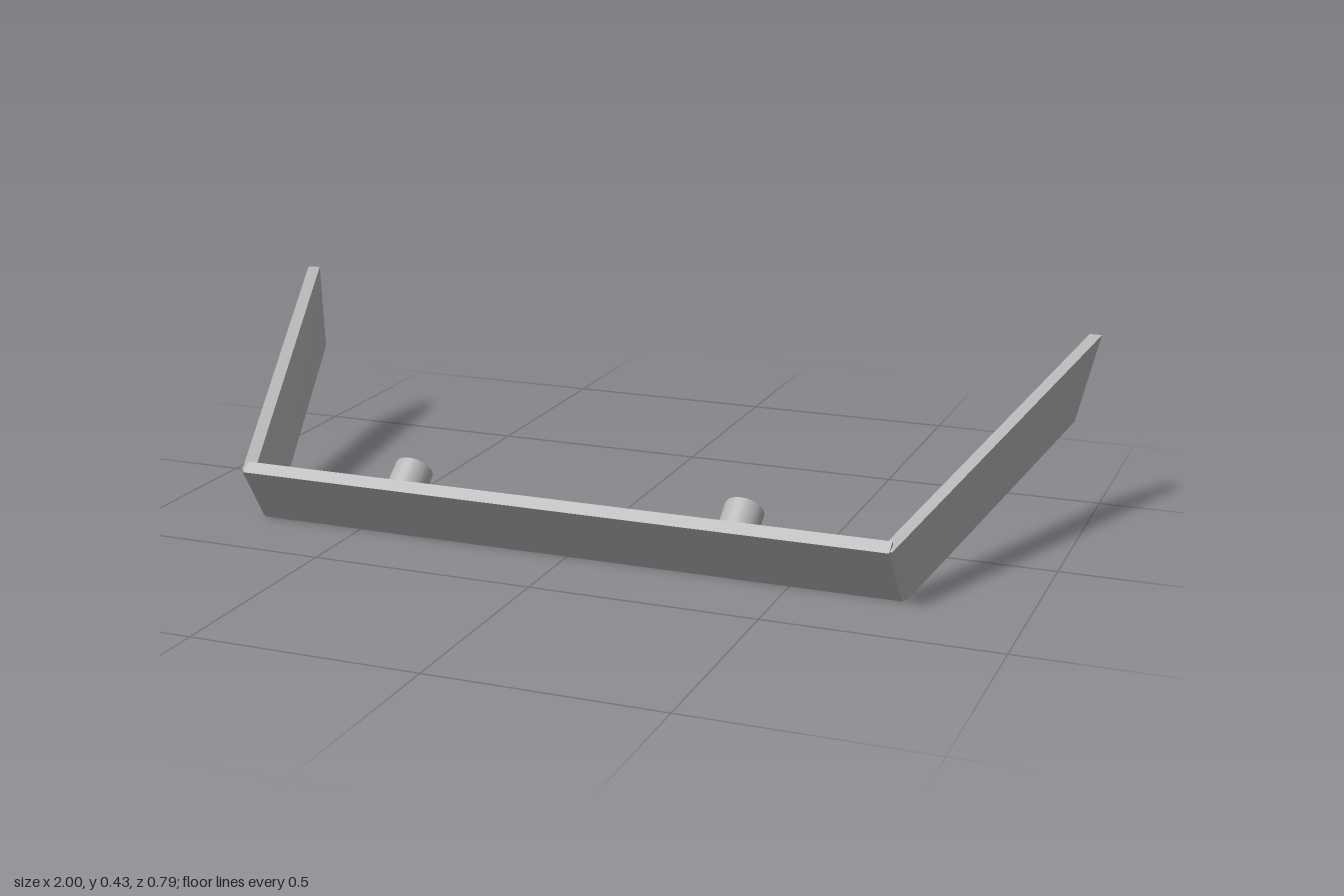
import * as THREE from 'three';

// Solid slab: a planar quad pushed along an offset vector, with outward faces
function slab(name, quad, offset, material) {
  const off = new THREE.Vector3(...offset);
  let p = quad.map((c) => new THREE.Vector3(...c));
  const normal = p[1].clone().sub(p[0]).cross(p[2].clone().sub(p[0]));
  if (normal.dot(off) > 0) p.reverse();
  const q = p.map((v) => v.clone().add(off));
  const pos = [];
  const face = (a, b, c, d) => [a, b, c, a, c, d].forEach((v) => pos.push(v.x, v.y, v.z));
  face(...p);
  face(q[3], q[2], q[1], q[0]);
  for (let i = 0; i < 4; i++) {
    const j = (i + 1) % 4;
    face(p[j], p[i], q[i], q[j]);
  }
  const geo = new THREE.BufferGeometry();
  geo.setAttribute('position', new THREE.Float32BufferAttribute(pos, 3));
  geo.computeVertexNormals();
  const mesh = new THREE.Mesh(geo, material);
  mesh.name = name;
  return mesh;
}

export function createModel() {
  const group = new THREE.Group();
  group.name = 'bumperBlade';
  const grey = new THREE.MeshStandardMaterial({ color: 0xb4b4b4 });
  grey.name = 'plain grey';

  // Front plate, leaning forward at the top
  const inward = new THREE.Vector3(0, 0.6, -0.8);
  const t = 0.03;
  group.add(slab('frontPlate', [
    [-0.735, 0.135, 0.397], [0.735, 0.135, 0.397],
    [0.742, 0, 0.297], [-0.742, 0, 0.297],
  ], [0, inward.y * t, inward.z * t], grey));

  // Hollow peg profile, each sharp corner doubled so its edge stays crisp
  const tube = [[0.043, -0.005], [0.043, 0.09], [0.043, 0.09], [0.028, 0.09],
    [0.028, 0.09], [0.028, 0], [0.028, 0], [0, 0]].map(([r, y]) => new THREE.Vector2(r, y));
  const pegGeo = new THREE.LatheGeometry(tube, 32);

  for (const s of [1, -1]) {
    const side = s > 0 ? 'left' : 'right';

    // Side wing sweeping up, out and back
    group.add(slab(side + 'Wing', [
      [s * 0.74, 0.137, 0.393], [s, 0.425, -0.39],
      [s * 0.96, 0.236, -0.337], [s * 0.75, 0.003, 0.293],
    ], [-s * 0.028, -0.001, -0.007], grey));

    // Mounting peg on the inner face
    const peg = new THREE.Mesh(pegGeo, grey);
    peg.name = side + 'Peg';
    peg.position.set(s * 0.385, 0.086, 0.323);
    peg.quaternion.setFromUnitVectors(new THREE.Vector3(0, 1, 0), inward);
    group.add(peg);
  }
  return group;
}
